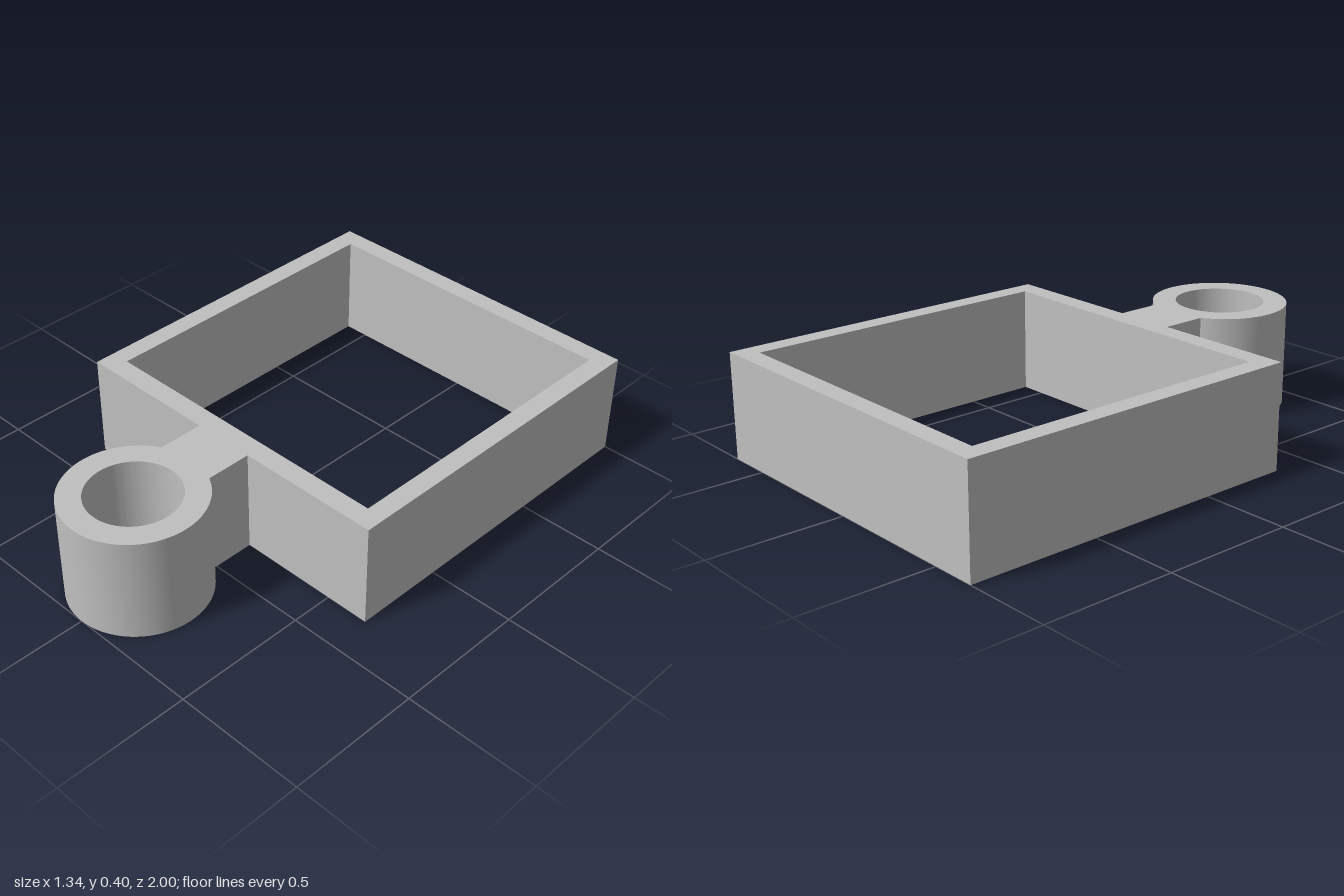
import * as THREE from 'three';
import { toCreasedNormals } from 'three/addons/utils/BufferGeometryUtils.js';

export function createModel() {
  const group = new THREE.Group();
  group.name = 'squareFrameWithRing';
  const grey = new THREE.MeshStandardMaterial({ color: 0xbfbfbf });
  grey.name = 'grey';

  const height = 0.397;
  const half = 0.669, front = 0.343, back = -1; // outer square
  const wall = 0.0745;
  const ringZ = 0.744, ringR = 0.256, holeR = 0.168; // round eyelet
  const neck = 0.119; // half width of the neck
  const join = Math.acos(neck / ringR); // angle where neck meets ring

  // Plan outline, drawn with shape y = -z: square, neck and eyelet in one piece
  const plan = new THREE.Shape();
  plan.moveTo(-half, -back);
  plan.lineTo(half, -back);
  plan.lineTo(half, -front);
  plan.lineTo(neck, -front);
  plan.absarc(0, -ringZ, ringR, join, Math.PI - join, true);
  plan.lineTo(-neck, -front);
  plan.lineTo(-half, -front);
  plan.closePath();

  // Square opening
  const inner = half - wall;
  plan.holes.push(new THREE.Path([
    new THREE.Vector2(-inner, -back - wall),
    new THREE.Vector2(-inner, -front + wall + 0.004),
    new THREE.Vector2(inner, -front + wall + 0.004),
    new THREE.Vector2(inner, -back - wall),
  ]));

  // Round bore of the eyelet
  plan.holes.push(new THREE.Path().absarc(0, -ringZ, holeR, 0, Math.PI * 2, false));

  const solid = new THREE.ExtrudeGeometry(plan, { depth: height, bevelEnabled: false, curveSegments: 64 });
  solid.rotateX(-Math.PI / 2);
  const body = new THREE.Mesh(toCreasedNormals(solid, 0.5), grey);
  body.name = 'frameAndRing';
  group.add(body);
  return group;
}
